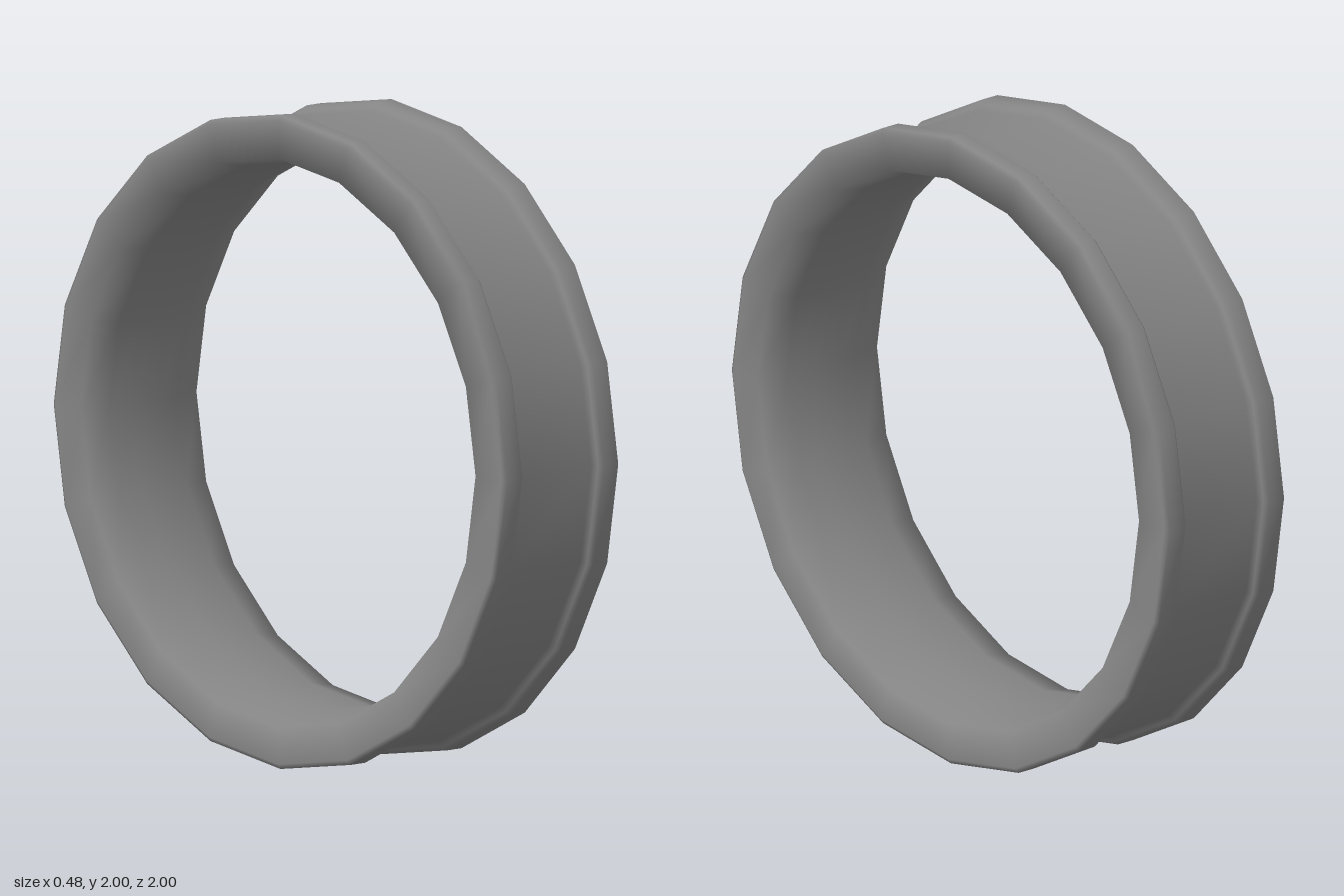
import * as THREE from 'three';

const SIDES = 20;

export function createModel() {
  // Half section as [radius, offset]: bore, side face, rounded flange, groove
  const half = [
    [0.84, 0], [0.84, 0.05], [0.849, 0.14], [0.87, 0.24],
    [0.985, 0.24], [1, 0.23], [1, 0.17], [0.988, 0.157], [0.97, 0.145],
  ];
  const section = [...half.map(([r, a]) => [r, -a]), ...half.slice().reverse()];

  // Revolve the section, with smooth normals, around the x axis
  const geometry = new THREE.LatheGeometry(section.map(([r, a]) => new THREE.Vector2(r, a)), SIDES);
  geometry.rotateZ(-Math.PI / 2);

  const band = new THREE.Mesh(geometry, new THREE.MeshStandardMaterial({ color: 0x868686 }));
  band.name = 'groovedBand';
  band.position.y = 1;

  const group = new THREE.Group();
  group.name = 'ring';
  group.add(band);
  return group;
}
